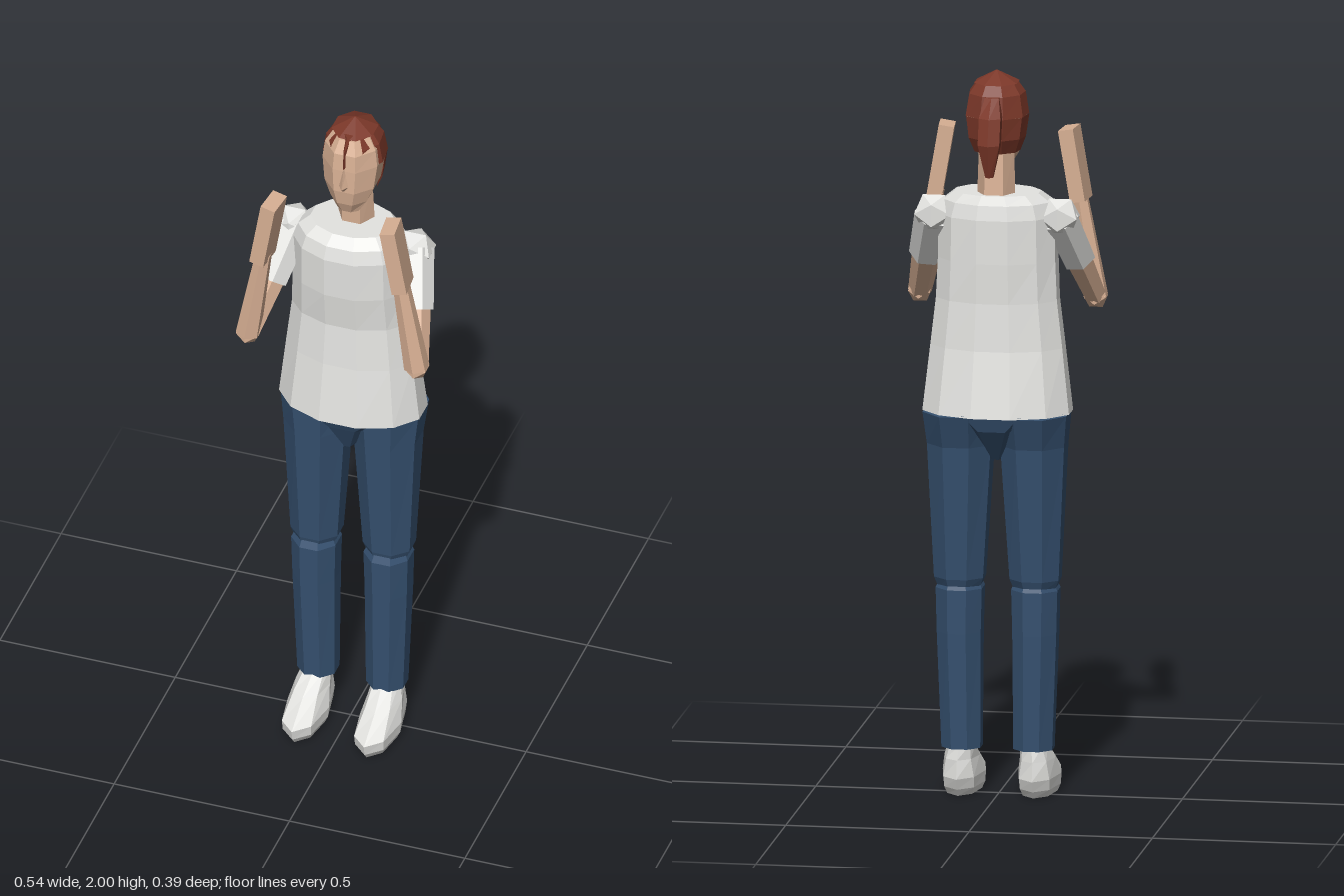
import * as THREE from 'three';

const mat = (name, color) => {
  const m = new THREE.MeshStandardMaterial({ color, flatShading: true });
  m.name = name;
  return m;
};

// Stacked horizontal rings [y, centreX, halfWidth, frontZ, backZ], lowest first.
// Angles run from the front (+z) towards +x; a full turn is closed with caps.
function loft(rings, sides, start = 0, sweep = Math.PI * 2) {
  const closed = sweep > 6.28;
  const grow = closed && start > 0 ? 1 / Math.cos(Math.PI / sides) : 1;
  const pos = [];
  const point = ([y, cx, rx, zf, zb], j) => {
    const t = start + (sweep * j) / sides;
    return [cx + rx * grow * Math.sin(t), y, (zf + zb) / 2 + ((zf - zb) / 2) * grow * Math.cos(t)];
  };
  const centre = ([y, cx, , zf, zb]) => [cx, y, (zf + zb) / 2];
  const first = rings[0], last = rings[rings.length - 1];
  for (let j = 0; j < sides; j++) {
    for (let i = 0; i < rings.length - 1; i++) {
      const a = point(rings[i], j), b = point(rings[i], j + 1);
      const c = point(rings[i + 1], j + 1), d = point(rings[i + 1], j);
      pos.push(...a, ...b, ...c, ...a, ...c, ...d);
    }
    if (closed) {
      pos.push(...centre(last), ...point(last, j), ...point(last, j + 1));
      pos.push(...centre(first), ...point(first, j + 1), ...point(first, j));
    }
  }
  const g = new THREE.BufferGeometry();
  g.setAttribute('position', new THREE.Float32BufferAttribute(pos, 3));
  g.computeVertexNormals();
  return g;
}

// Tapered six-sided limb from a to b
function limb(a, b, ra, rb) {
  const dir = b.clone().sub(a);
  const g = new THREE.CylinderGeometry(rb, ra, dir.length(), 6);
  g.applyQuaternion(new THREE.Quaternion().setFromUnitVectors(new THREE.Vector3(0, 1, 0), dir.normalize()));
  const m = a.clone().add(b).multiplyScalar(0.5);
  return g.translate(m.x, m.y, m.z);
}

export function createModel() {
  const model = new THREE.Group();
  model.name = 'standingPerson';
  const skin = mat('skin', 0xd8b094);
  const white = mat('whiteCloth', 0xe4e4e1);
  const denim = mat('darkBlueDenim', 0x35506f);
  const red = mat('redBrownHair', 0x7c3829);
  red.side = THREE.DoubleSide;
  const add = (name, geometry, material) => {
    const mesh = new THREE.Mesh(geometry, material);
    mesh.name = name;
    model.add(mesh);
    return mesh;
  };

  // Shirt and pelvis
  add('shirt', loft([
    [1.06, 0, 0.2, 0.108, -0.153],
    [1.24, 0, 0.18, 0.088, -0.125],
    [1.37, 0, 0.165, 0.08, -0.118],
    [1.48, 0, 0.16, 0.095, -0.122],
    [1.6, 0, 0.158, 0.098, -0.122],
    [1.64, 0, 0.145, 0.088, -0.115],
    [1.665, 0, 0.115, 0.06, -0.105],
  ], 12, Math.PI / 12), white);
  add('pelvis', loft([
    [0.93, 0, 0.02, 0.03, -0.06],
    [1.02, 0, 0.09, 0.075, -0.13],
    [1.065, 0, 0.185, 0.095, -0.145],
  ], 8, Math.PI / 8), denim);

  // Neck, head and nose
  add('neck', loft([[1.64, 0, 0.045, -0.005, -0.095], [1.79, 0, 0.042, 0, -0.08]], 6, Math.PI / 6), skin);
  add('head', loft([
    [1.73, 0, 0.03, 0.035, -0.01],
    [1.765, 0, 0.052, 0.05, -0.06],
    [1.81, 0, 0.07, 0.057, -0.09],
    [1.88, 0, 0.078, 0.055, -0.11],
    [1.93, 0, 0.072, 0.05, -0.11],
    [1.965, 0, 0.052, 0.03, -0.09],
  ], 8, Math.PI / 8), skin);
  add('nose', loft([
    [1.815, 0, 0.014, 0.06, 0.03],
    [1.83, 0, 0.015, 0.077, 0.03],
    [1.885, 0, 0.007, 0.058, 0.03],
  ], 4), skin);

  // Hair: crown, temple band open at the forehead, nape, centre strand, ponytail
  const brow = [1.88, 0, 0.088, 0.05, -0.13];
  const temple = [1.94, 0, 0.078, 0.046, -0.12];
  const upper = [1.968, 0, 0.058, 0.028, -0.1];
  add('hairCrown', loft([upper, [2.0, 0, 0.002, -0.035, -0.039]], 8, Math.PI / 8), red);
  add('hairSides', loft([brow, temple, upper], 7, 0.6, Math.PI * 2 - 1.2), red);
  add('hairNape', loft([[1.78, 0, 0.064, 0.02, -0.1], [1.82, 0, 0.08, 0.03, -0.122], brow],
    5, 1.4, Math.PI * 2 - 2.8), red);
  add('hairStrand', loft([[1.89, 0, 0.004, 0.064, 0.04], [1.94, 0, 0.005, 0.058, 0.03], [1.975, 0, 0.012, 0.03, 0]], 4), red);
  add('ponytail', loft([
    [1.73, 0, 0.012, -0.145, -0.175],
    [1.82, 0, 0.034, -0.13, -0.195],
    [1.89, 0, 0.034, -0.11, -0.175],
    [1.94, 0, 0.022, -0.1, -0.13],
  ], 6), red);

  for (const [side, s] of [['left', 1], ['right', -1]]) {
    // Raised arm
    const shoulder = new THREE.Vector3(0.172 * s, 1.6, -0.035);
    const elbow = new THREE.Vector3(0.24 * s, 1.345, 0.148);
    const cuff = shoulder.clone().lerp(elbow, 0.52);
    const wrist = new THREE.Vector3(0.195 * s, 1.625, 0.15);
    add(side + 'Shoulder', new THREE.IcosahedronGeometry(0.058, 0)
      .translate(shoulder.x, shoulder.y, shoulder.z), white);
    add(side + 'Sleeve', limb(shoulder, cuff, 0.052, 0.048), white);
    add(side + 'UpperArm', limb(cuff, elbow, 0.04, 0.032), skin);
    add(side + 'Elbow', new THREE.IcosahedronGeometry(0.035, 0)
      .translate(elbow.x, elbow.y, elbow.z), skin);
    add(side + 'Forearm', limb(elbow, wrist, 0.035, 0.023), skin);
    const hand = add(side + 'Hand', new THREE.BoxGeometry(0.042, 0.2, 0.08), skin);
    hand.position.set(0.183 * s, 1.708, 0.15);
    hand.rotation.set(0, 0.1 * s, 0.17 * s);

    // Leg
    const x = 0.103 * s;
    add(side + 'Thigh', loft([
      [0.57, x, 0.055, 0.035, -0.075],
      [0.6, x, 0.067, 0.043, -0.085],
      [0.97, 0.1 * s, 0.087, 0.068, -0.115],
      [1.06, 0.101 * s, 0.095, 0.075, -0.145],
    ], 8, Math.PI / 8), denim);
    add(side + 'LowerLeg', loft([
      [0.13, 0.098 * s, 0.053, 0.035, -0.07],
      [0.45, x, 0.06, 0.047, -0.082],
      [0.57, x, 0.063, 0.05, -0.083],
      [0.6, x, 0.05, 0.035, -0.07],
    ], 8, Math.PI / 8), denim);

    // Pointed shoe
    add(side + 'Shoe', loft([
      [0, x, 0.048, 0.165, -0.06],
      [0.02, x, 0.057, 0.182, -0.075],
      [0.05, x, 0.059, 0.188, -0.087],
      [0.1, x, 0.048, 0.1, -0.075],
      [0.14, 0.098 * s, 0.038, 0.03, -0.065],
    ], 8), white);
  }
  return model;
}
